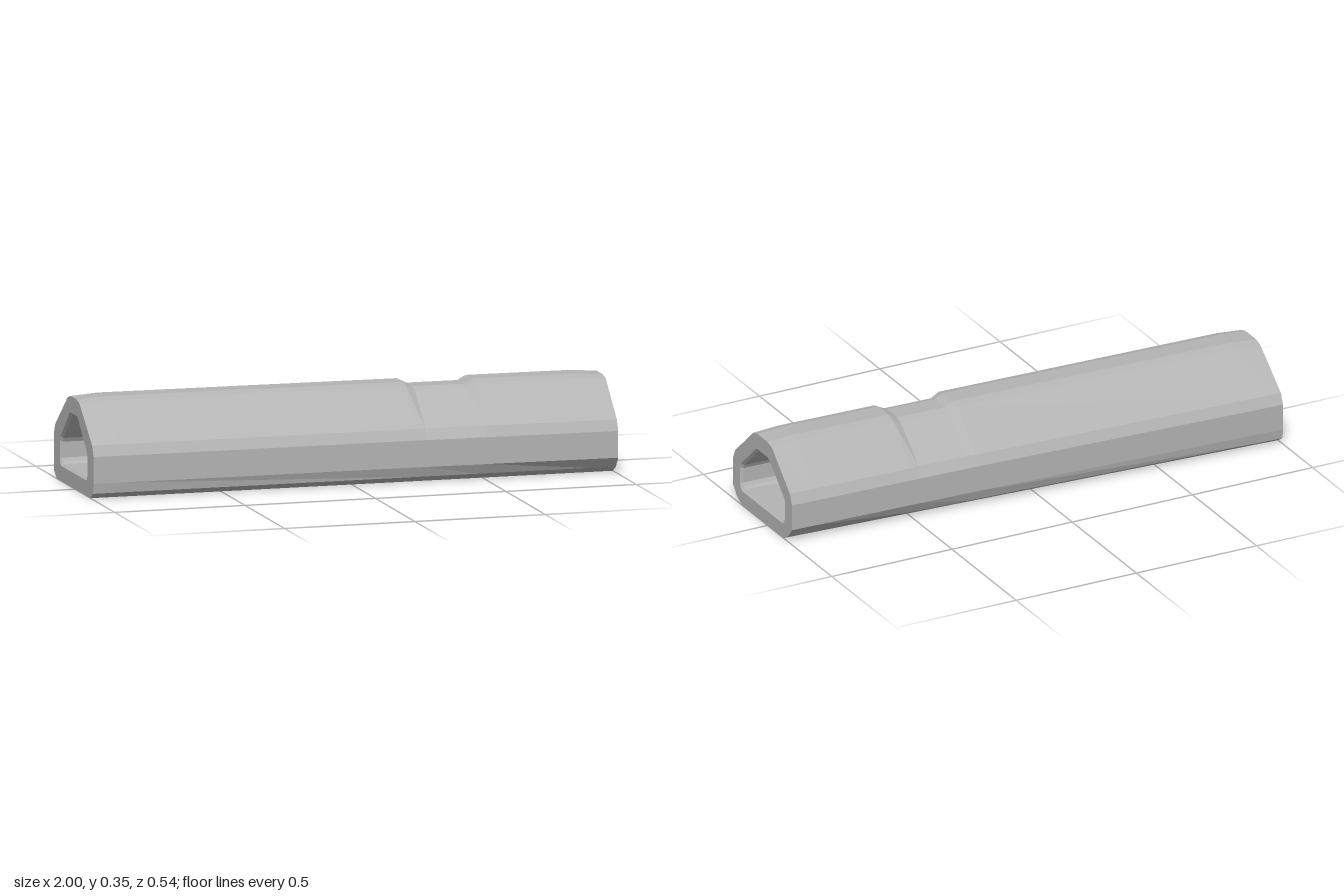
import * as THREE from 'three';

const { lerp, clamp } = THREE.MathUtils;

// The tube drifts sideways along its length
const centre = x => lerp(-0.019, 0.04, (x + 1) / 2);

// Mirror a half profile of [halfWidth, y], bottom to top, into a closed ring at x
function ring(x, half) {
  const c = centre(x);
  const back = half.map(([w, y]) => [x, y, c - w]);
  const front = half.map(([w, y]) => [x, y, c + w]).reverse();
  return [...back, ...front];
}

// Outer skin: the flanks narrow, the lower bevel grows, the grip dip lowers the top
function outerRing(x, topDrop, dip) {
  const t = (x + 1) / 2;
  const w = lerp(0.252, 0.2315, clamp((x + 1) / 1.25, 0, 1));
  const d = 0.018 * dip;
  return ring(x, [
    [lerp(0.212, 0.1635, t), 0],
    [lerp(0.246, 0.2, t), 0.022],
    [w, 0.06],
    [w, 0.16],
    [w - 0.018 - 0.005 * dip, 0.2],
    [0.0745 - 0.004 * dip, 0.336 - topDrop - d],
    [0.04, 0.346 - topDrop - d],
  ]);
}

// Bore, opened by a small bevel at each mouth
function boreRing(x, grow) {
  return ring(x, [
    [0.15 + grow, 0.065 - grow],
    [0.16 + grow, 0.072 - grow],
    [0.168 + grow, 0.086 - grow * 0.7],
    [0.168 + grow, 0.145 + grow * 0.4],
    [0.16 + grow, 0.16 + grow * 0.7],
    [0.05 + grow * 0.5, 0.262 + grow],
    [0.038 + grow * 0.3, 0.268 + grow],
  ]);
}

// Join rings in a closed loop: along the outside, then back through the bore
function loft(rings) {
  const pos = [];
  const n = rings[0].length;
  rings.forEach((r, i) => {
    const s = rings[(i + 1) % rings.length];
    for (let j = 0; j < n; j++) {
      const k = (j + 1) % n;
      pos.push(...r[j], ...r[k], ...s[k], ...r[j], ...s[k], ...s[j]);
    }
  });
  const g = new THREE.BufferGeometry();
  g.setAttribute('position', new THREE.Float32BufferAttribute(pos, 3));
  g.computeVertexNormals();
  return g;
}

export function createModel() {
  const grey = new THREE.MeshStandardMaterial({ color: 0xb4b4b4 });
  grey.name = 'light grey';
  grey.flatShading = true;

  // [x, top drop, grip dip]
  const stations = [
    [-1, 0.008, 0], [-0.9, 0, 0], [0.24, 0, 0], [0.275, 0, 1],
    [0.47, 0, 1], [0.505, 0, 0], [0.9, 0, 0], [1, 0.008, 0],
  ];
  const rings = stations.map(s => outerRing(...s));
  rings.push(boreRing(1, 0.008), boreRing(0.99, 0), boreRing(-0.99, 0), boreRing(-1, 0.008));

  const tube = new THREE.Mesh(loft(rings), grey);
  tube.name = 'hollowTube';

  const model = new THREE.Group();
  model.name = 'bevelledTube';
  model.add(tube);
  return model;
}
